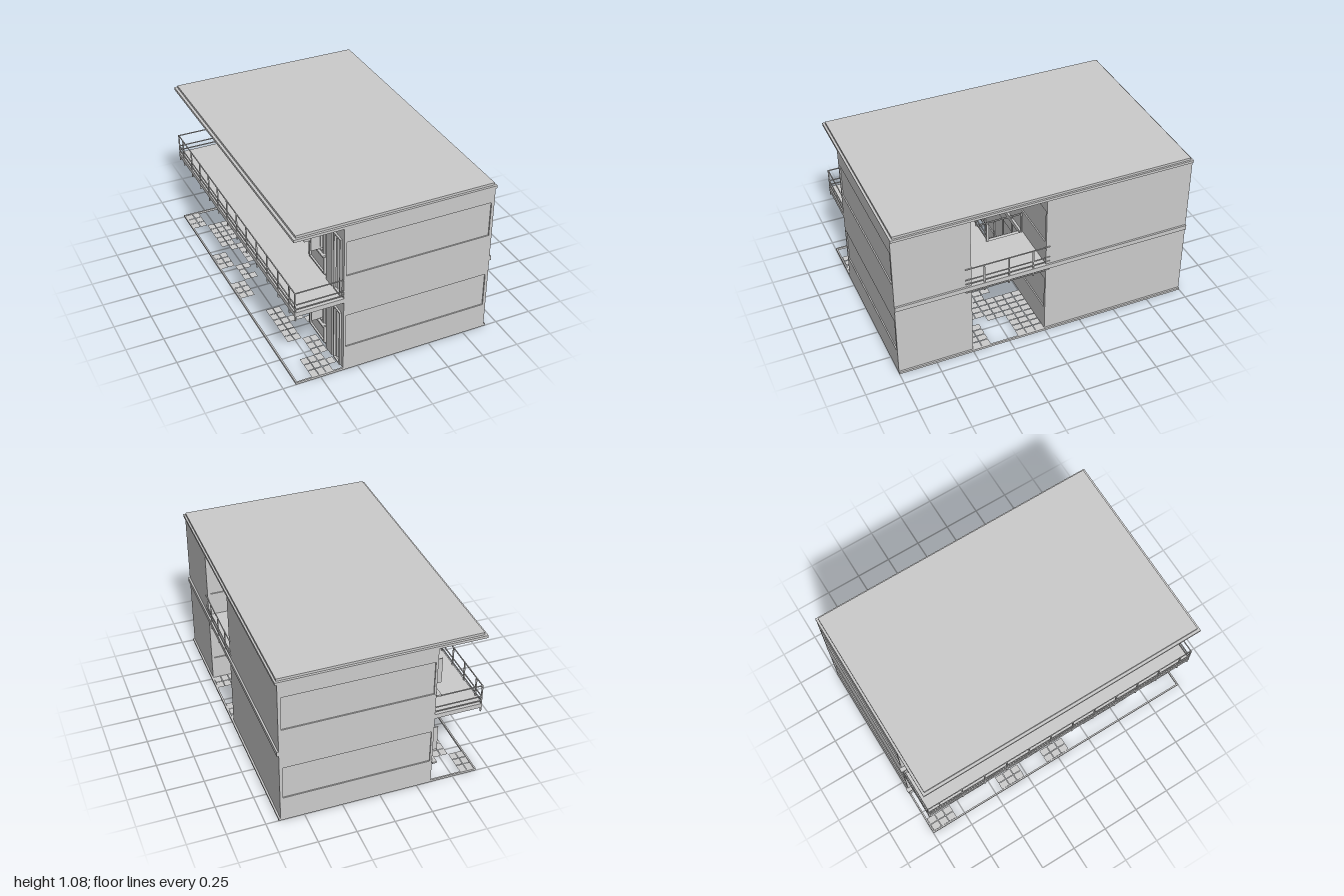
import * as THREE from 'three';

const mat = new THREE.MeshStandardMaterial({ color: 0xcccccc, flatShading: true });
const thin = new THREE.MeshStandardMaterial({ color: 0xcccccc, side: THREE.DoubleSide });

function add(parent, name, geo, material = mat) {
  const m = new THREE.Mesh(geo, material);
  m.name = name;
  parent.add(m);
  return m;
}

// Box given by its two opposite corners
function box(parent, name, x0, x1, y0, y1, z0, z1) {
  const m = add(parent, name, new THREE.BoxGeometry(x1 - x0, y1 - y0, z1 - z0));
  m.position.set((x0 + x1) / 2, (y0 + y1) / 2, (z0 + z1) / 2);
  return m;
}

// Square bar between two points
function bar(parent, name, a, b, w = 0.006) {
  const p = new THREE.Vector3(...a), q = new THREE.Vector3(...b);
  const m = add(parent, name, new THREE.BoxGeometry(w, p.distanceTo(q), w));
  m.position.copy(p).lerp(q, 0.5);
  m.quaternion.setFromUnitVectors(new THREE.Vector3(0, 1, 0), q.sub(p).normalize());
}

function rect(Type, x0, x1, y0, y1) {
  return new Type([[x0, y0], [x1, y0], [x1, y1], [x0, y1]].map(p => new THREE.Vector2(...p)));
}

// Flat plate with rectangular holes
function plate(x0, x1, y0, y1, holes, depth) {
  const s = rect(THREE.Shape, x0, x1, y0, y1);
  holes.forEach(h => s.holes.push(rect(THREE.Path, ...h)));
  return new THREE.ExtrudeGeometry(s, { depth, bevelEnabled: false });
}

const FLOORS = [0.015, 0.55];

// Cross wall with a shallow recessed panel per storey; dir is the outward z direction
function crossWall(parent, z, dir) {
  const wall = new THREE.Group();
  wall.name = 'crossWall';
  const face = add(wall, 'recessFrame', plate(-0.348, 0.655, 0.01, 1.05,
    [[-0.335, 0.635, 0.18, 0.42], [-0.335, 0.635, 0.715, 0.955]], 0.008));
  face.position.z = dir > 0 ? z - 0.008 : z;
  const a = z - dir * 0.008, b = z - dir * 0.02;
  box(wall, 'wallCore', -0.348, 0.655, 0.01, 1.05, Math.min(a, b), Math.max(a, b));
  parent.add(wall);
}

// Rectangular frame standing in the facade plane
function frame(parent, name, x, z0, z1, y0, y1, t = 0.01) {
  const f = add(parent, name, plate(z0, z1, y0, y1, [[z0 + t, z1 - t, y0 + t, y1 - t]], 0.014));
  f.rotation.y = -Math.PI / 2;
  f.position.x = x;
}

// One dwelling front, half a unit wide; u runs from the window end, s mirrors it
function dwellingFront(parent, z, s, y) {
  const g = new THREE.Group();
  g.name = 'dwellingFront';
  const span = (a, b) => s > 0 ? [z + a, z + b] : [z - b, z - a];
  const win = [...span(0.04, 0.24), y + 0.165, y + 0.41];
  const door = [...span(0.38, 0.47), y + 0.005, y + 0.41];
  const top = y < 0.1 ? 0.52 : 1.05;
  const wall = add(g, 'facadeWall', plate(...span(0, 0.5), y - 0.004, top, [win, door], 0.015));
  wall.rotation.y = -Math.PI / 2;
  wall.position.x = -0.333;
  frame(g, 'windowFrame', -0.346, ...win);
  frame(g, 'doorFrame', -0.346, ...door);
  // Glazing bars, transom and glass
  for (let i = 1; i < 4; i++) {
    const c = 0.04 + 0.05 * i;
    box(g, 'mullion', -0.358, -0.34, y + 0.17, y + 0.41, ...span(c - 0.004, c + 0.004));
  }
  box(g, 'transom', -0.358, -0.34, y + 0.356, y + 0.364, ...span(0.04, 0.24));
  box(g, 'glass', -0.344, -0.34, y + 0.17, y + 0.405, ...span(0.045, 0.235));
  // Casement leaves standing open
  [0.09, 0.19].forEach(c => box(g, 'openCasement', -0.42, -0.358, y + 0.17, y + 0.352, ...span(c - 0.003, c + 0.003)));
  // Sill and framed panel under the window
  box(g, 'windowSill', -0.375, -0.345, y + 0.15, y + 0.162, ...span(-0.015, 0.26));
  frame(g, 'underWindowFrame', -0.346, ...span(0.03, 0.25), y + 0.015, y + 0.14);
  // Cladding beside the door, door leaf ajar
  box(g, 'doorPanel', -0.36, -0.345, y, y + 0.415, ...span(0.28, 0.36));
  const leaf = new THREE.Group();
  leaf.name = 'doorLeaf';
  box(leaf, 'doorLeafBoard', -0.004, 0.004, 0, 0.39, s > 0 ? 0 : -0.07, s > 0 ? 0.07 : 0);
  leaf.position.set(-0.338, y + 0.01, z + s * 0.39);
  leaf.rotation.y = s * 0.4;
  g.add(leaf);
  parent.add(g);
}

// Horizontal rails and posts along a straight line
function railing(parent, a, b, posts, heights) {
  const g = new THREE.Group();
  g.name = 'railing';
  heights.forEach(y => bar(g, 'rail', [a[0], y, a[1]], [b[0], y, b[1]]));
  posts.forEach(t => {
    const x = a[0] + (b[0] - a[0]) * t, z = a[1] + (b[1] - a[1]) * t;
    box(g, 'post', x - 0.004, x + 0.004, 0.49, 0.69, z - 0.004, z + 0.004);
  });
  parent.add(g);
}

export function createModel() {
  const model = new THREE.Group();
  model.name = 'apartmentBlock';

  // Ground rim
  box(model, 'groundRim', -0.665, 0.667, 0, 0.015, 0.99, 1);
  box(model, 'groundRim', -0.665, 0.667, 0, 0.015, -1, -0.99);
  box(model, 'groundRim', -0.665, -0.655, 0, 0.015, -0.99, 0.99);
  box(model, 'groundRim', 0.655, 0.667, 0, 0.015, -0.99, 0.99);

  // Paving laid in clusters of tiles with bare patches between
  let seed = 7;
  const rnd = () => (seed = (seed * 16807) % 2147483647) / 2147483647;
  const paving = new THREE.Group();
  paving.name = 'paving';
  function pave(x0, x1, z0, z1, cover) {
    const nx = Math.round((x1 - x0) / 0.05), nz = Math.round((z1 - z0) / 0.06);
    const w = (x1 - x0) / nx, d = (z1 - z0) / nz;
    for (let i = 0; i < nx; i += 2) for (let j = 0; j < nz; j += 3) {
      if (rnd() > cover) continue;
      for (let k = 0; k < 6; k++) {
        const c = i + k % 2, r = j + Math.floor(k / 2);
        if (c >= nx || r >= nz || rnd() < 0.1) continue;
        const t = add(paving, 'pavingTile', new THREE.PlaneGeometry(w - 0.003, d - 0.003), thin);
        t.rotation.x = -Math.PI / 2;
        t.position.set(x0 + (c + 0.5) * w, 0.013, z0 + (r + 0.5) * d);
      }
    }
  }
  pave(-0.655, -0.36, -0.99, 0.99, 0.55);
  pave(-0.36, 0.655, 0, 0.5, 0.85);
  model.add(paving);

  // Middle slab with stair opening, and roof
  const slab = add(model, 'middleSlab', plate(-0.665, 0.667, -1, 1, [[-0.05, 0.3, -0.24, -0.015]], 0.032));
  slab.rotation.x = -Math.PI / 2;
  slab.position.y = 0.52;
  box(model, 'roofSlab', -0.665, 0.667, 1.05, 1.068, -1, 1);
  box(model, 'roofCap', -0.647, 0.655, 1.068, 1.084, -0.985, 0.985);

  // Two blocks either side of the open passage
  [[-1, -1], [0, 1], [0.5, -1], [1, 1]].forEach(w => crossWall(model, ...w));
  [[-1, 0], [0.5, 1]].forEach(([a, b]) => box(model, 'sideWall', 0.635, 0.655, 0.01, 1.05, a, b));
  FLOORS.forEach(y => {
    dwellingFront(model, -1, 1, y);
    dwellingFront(model, 0, -1, y);
    dwellingFront(model, 0.5, 1, y);
  });
  [0.49, 1.025].forEach(y => box(model, 'ceilingBeam', -0.33, -0.31, y, y + 0.015, 0.26, 0.5));

  // Walkway railing on three sides, and passage end railing
  const heights = [0.573, 0.605, 0.688];
  railing(model, [-0.66, -0.995], [-0.66, 0.995], Array.from({ length: 12 }, (_, i) => (i + 0.5) / 12), heights);
  [-0.995, 0.995].forEach(z => railing(model, [-0.66, z], [-0.345, z], [0], heights));
  railing(model, [0.658, -0.025], [0.658, 0.54], [0.2, 0.49, 0.78], [0.505, ...heights]);

  // Stair rising from the walkway side
  const stair = new THREE.Group();
  stair.name = 'stair';
  const N = 15, xa = -0.3, xb = 0.3, ya = 0.015, yb = 0.535;
  for (let i = 0; i < N; i++) {
    const x = xa + (xb - xa) * i / N, y = ya + (yb - ya) * (i + 1) / N;
    box(stair, 'tread', x, x + 0.045, y - 0.014, y, 0.015, 0.235);
  }
  const side = new THREE.Shape([[xa, ya], [xa + 0.05, ya], [xb, yb - 0.04], [xb, yb + 0.01], [xa, ya + 0.04]]
    .map(p => new THREE.Vector2(...p)));
  [0.003, 0.235].forEach(z => {
    add(stair, 'stringer', new THREE.ExtrudeGeometry(side, { depth: 0.012, bevelEnabled: false })).position.z = z;
    bar(stair, 'handrail', [xa, 0.19, z + 0.006], [xb, 0.7, z + 0.006], 0.012);
    for (let i = 0; i <= 4; i++) {
      const x = xa + (xb - xa) * i / 4, y = ya + (yb - ya) * i / 4;
      bar(stair, 'handrailPost', [x, y, z + 0.006], [x, y + 0.17, z + 0.006], 0.008);
    }
  });
  model.add(stair);

  // Guard around the stair opening
  railing(model, [-0.05, 0.25], [0.3, 0.25], [0, 0.5, 1], heights);
  railing(model, [-0.05, 0.015], [-0.05, 0.25], [0], heights);

  return model;
}
